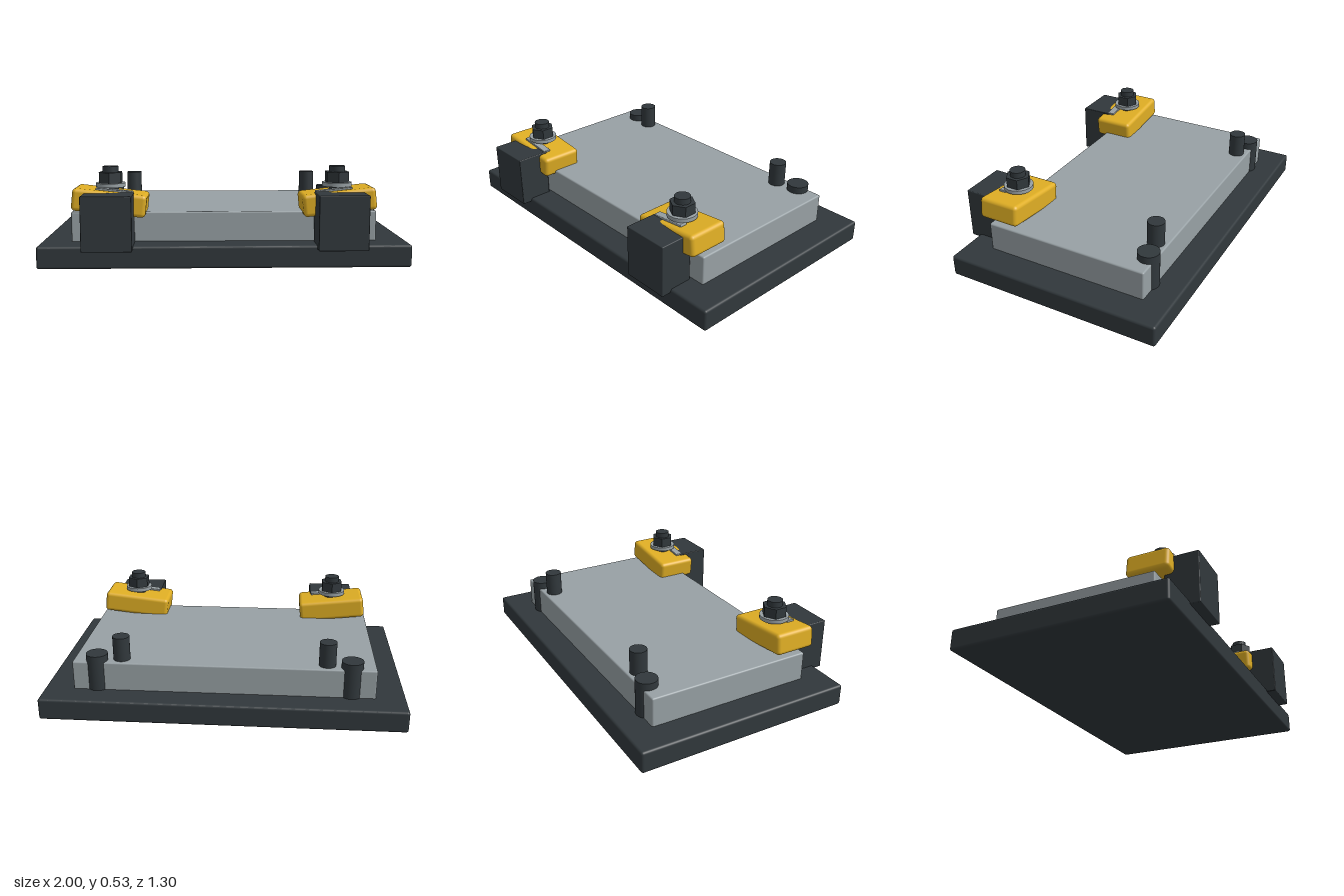
import * as THREE from 'three';
import { RoundedBoxGeometry } from 'three/addons/geometries/RoundedBoxGeometry.js';

const dark = new THREE.MeshStandardMaterial({ color: 0x31383c });
const steel = new THREE.MeshStandardMaterial({ color: 0x98a1a5 });
const yellow = new THREE.MeshStandardMaterial({ color: 0xdfae24 });

function add(parent, name, geometry, material, x, y, z) {
  const mesh = new THREE.Mesh(geometry, material);
  mesh.name = name;
  mesh.position.set(x, y, z);
  parent.add(mesh);
  return mesh;
}

// Rounded block given by its size, edge radius and centre
const block = (parent, name, material, [w, h, d], r, x, y, z) =>
  add(parent, name, new RoundedBoxGeometry(w, h, d, 3, r), material, x, y, z);

// Upright cylinder given by its radius, bottom and top
const post = (parent, name, material, r, y0, y1, x, z, sides = 32) => {
  const geometry = new THREE.CylinderGeometry(r, r, y1 - y0, sides);
  const flat = sides < 10 ? geometry.toNonIndexed() : geometry;
  if (sides < 10) flat.computeVertexNormals();
  return add(parent, name, flat, material, x, (y0 + y1) / 2, z);
};

// Clamp station: rear stop block, tilted jaw, washer, nut and stud
function createClamp(side) {
  const clamp = new THREE.Group();
  clamp.name = side > 0 ? 'leftClamp' : 'rightClamp';
  clamp.position.x = side * 0.622;
  block(clamp, 'supportBlock', dark, [0.266, 0.294, 0.19], 0.005, 0, 0.248, 0.553);

  // Jaw slopes down towards the middle of the plate
  const jaw = new THREE.Group();
  jaw.name = 'jaw';
  jaw.position.set(0, 0.34, 0.392);
  jaw.rotation.z = side * 0.11;
  clamp.add(jaw);
  block(jaw, 'jawBar', yellow, [0.4, 0.122, 0.24], 0.022, 0, 0, 0);
  block(jaw, 'slotPlate', steel, [0.2, 0.02, 0.045], 0.004, -side * 0.02, 0.062, 0.057);

  post(clamp, 'stud', dark, 0.043, 0.12, 0.53, 0, 0.39);
  post(clamp, 'washer', steel, 0.081, 0.418, 0.44, 0, 0.39);
  post(clamp, 'nut', dark, 0.069, 0.44, 0.498, 0, 0.39, 6);
  return clamp;
}

export function createModel() {
  const model = new THREE.Group();
  model.name = 'clampingFixture';

  block(model, 'basePlate', dark, [2, 0.122, 1.242], 0.014, 0, 0.061, -0.029);
  block(model, 'workpiece', steel, [1.67, 0.175, 0.945], 0.009, 0, 0.1975, -0.028);

  // Mirrored clamps and locating pins
  for (const side of [-1, 1]) {
    model.add(createClamp(side));
    post(model, 'locatingPin', dark, 0.047, 0.12, 0.42, side * 0.568, -0.434);
    post(model, 'restPin', dark, 0.06, 0.12, 0.325, side * 0.702, -0.46);
  }
  return model;
}
